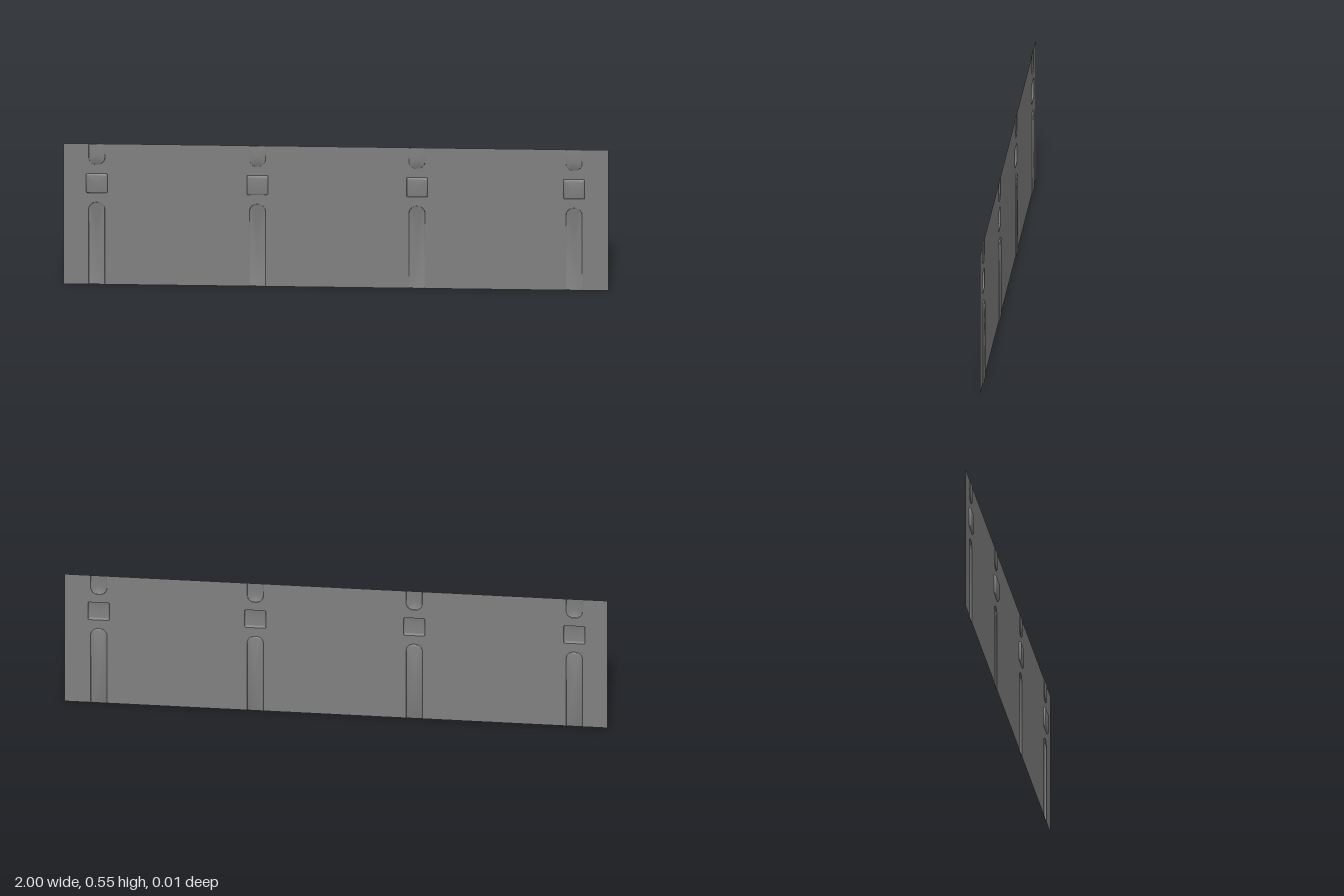
import * as THREE from 'three';
import { toCreasedNormals } from 'three/addons/utils/BufferGeometryUtils.js';

const WIDTH = 2, HEIGHT = 0.553, PANEL_Z = -0.001;
const COLUMNS = [-0.877, -0.288, 0.297, 0.873];

// Pressed features repeated in every column; positive depth bulges forward
const FEATURES = [
  { name: 'groove', half: 0.03, y0: 0.001, y1: 0.323, rBottom: 0.002, rTop: 0.028, depth: -0.0045, edge: 0.004 },
  { name: 'squareBoss', half: 0.039, y0: 0.36, y1: 0.436, rBottom: 0.004, rTop: 0.004, depth: 0.008, edge: 0.006 },
  { name: 'topTab', half: 0.03, y0: 0.471, y1: 0.552, rBottom: 0.028, rTop: 0.002, depth: 0.003, edge: 0.003 },
];

// Counter-clockwise rounded rectangle with a fixed point count
function outline(f, cx, inset) {
  const x = f.half - inset, y0 = f.y0 + inset, y1 = f.y1 - inset;
  const points = [];
  const corner = (sx, y, sy, radius, start) => {
    const r = Math.max(radius - inset, 0.0005);
    for (let i = 0; i <= 6; i++) {
      const a = start + (i / 6) * Math.PI / 2;
      points.push(new THREE.Vector2(
        cx + sx * (x - r) + r * Math.cos(a),
        y - sy * r + r * Math.sin(a)));
    }
  };
  corner(1, y1, 1, f.rTop, 0);
  corner(-1, y1, 1, f.rTop, Math.PI / 2);
  corner(-1, y0, -1, f.rBottom, Math.PI);
  corner(1, y0, -1, f.rBottom, Math.PI * 1.5);
  return points;
}

// Rounded pressing: rings step inward and away from the sheet, then close
function pressing(f, cx) {
  const steps = 4, positions = [], index = [];
  let count = 0;
  for (let s = 0; s <= steps; s++) {
    const a = (s / steps) * Math.PI / 2;
    const ring = outline(f, cx, f.edge * (1 - Math.cos(a)));
    count = ring.length;
    ring.forEach(p => positions.push(p.x, p.y, PANEL_Z + f.depth * Math.sin(a)));
  }
  positions.push(cx, (f.y0 + f.y1) / 2, PANEL_Z + f.depth);
  const centre = (steps + 1) * count;
  for (let i = 0; i < count; i++) {
    const j = (i + 1) % count;
    for (let s = 0; s < steps; s++) {
      const a = s * count, b = a + count;
      index.push(a + i, a + j, b + j, a + i, b + j, b + i);
    }
    index.push(steps * count + i, steps * count + j, centre);
  }
  const geometry = new THREE.BufferGeometry();
  geometry.setAttribute('position', new THREE.Float32BufferAttribute(positions, 3));
  geometry.setIndex(index);
  return toCreasedNormals(geometry, Math.PI / 5);
}

export function createModel() {
  const group = new THREE.Group();
  group.name = 'wallPanel';
  const grey = new THREE.MeshStandardMaterial({ color: 0x808080, side: THREE.DoubleSide });
  grey.name = 'grey';

  // Flat sheet with an opening behind each pressing
  const sheet = new THREE.Shape([
    new THREE.Vector2(-WIDTH / 2, 0), new THREE.Vector2(WIDTH / 2, 0),
    new THREE.Vector2(WIDTH / 2, HEIGHT), new THREE.Vector2(-WIDTH / 2, HEIGHT),
  ]);

  COLUMNS.forEach((cx, i) => {
    const column = new THREE.Group();
    column.name = `column${i + 1}`;
    for (const f of FEATURES) {
      sheet.holes.push(new THREE.Path(outline(f, cx, 0).reverse()));
      const mesh = new THREE.Mesh(pressing(f, cx), grey);
      mesh.name = f.name;
      column.add(mesh);
    }
    group.add(column);
  });

  const panel = new THREE.Mesh(new THREE.ShapeGeometry(sheet), grey);
  panel.name = 'sheet';
  panel.position.z = PANEL_Z;
  group.add(panel);
  return group;
}
